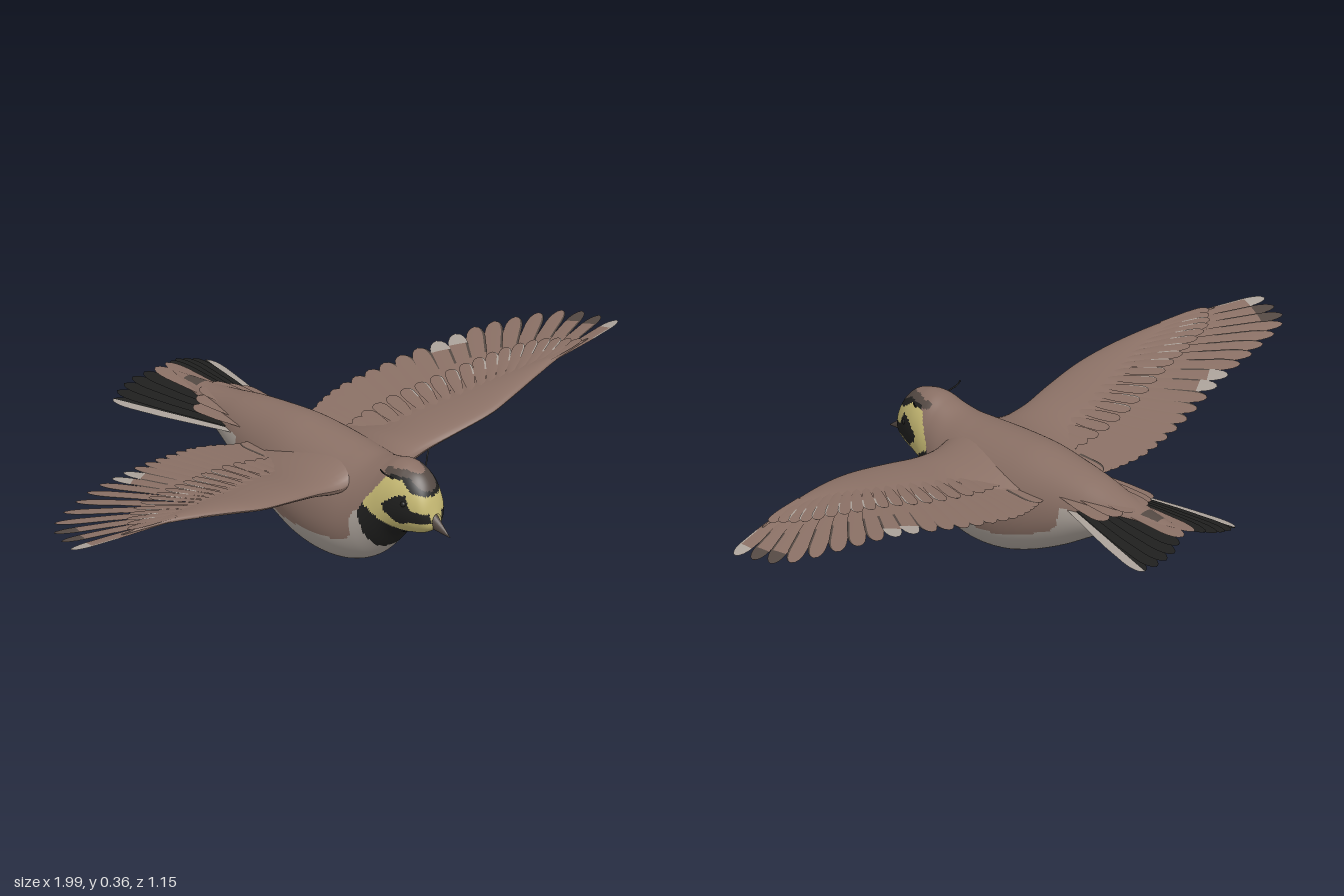
import * as THREE from 'three';

const paint = (name, color) => {
  const m = new THREE.MeshStandardMaterial({ color, side: THREE.DoubleSide });
  m.name = name;
  return m;
};
const M = {
  brown: paint('warm brown', 0x8a7065),
  pale: paint('pale belly', 0xaba29a),
  grey: paint('wing underside grey', 0x968e87),
  black: paint('black', 0x1f1f1e),
  yellow: paint('face yellow', 0xc6b973),
  dark: paint('dark brown', 0x544943),
};
const KEYS = Object.keys(M);

// Collects grid patches whose cells may differ in colour; side -1 mirrors in x
class Surface {
  constructor(side = 1) {
    this.side = side;
    this.pos = [];
    this.faces = Object.fromEntries(KEYS.map((k) => [k, []]));
  }
  patch(nu, nv, point, colour, flip = false) {
    const base = this.pos.length / 3;
    for (let i = 0; i <= nu; i++) for (let j = 0; j <= nv; j++) {
      const p = point(i / nu, j / nv);
      this.pos.push(p[0] * this.side, p[1], p[2]);
    }
    const reverse = flip !== (this.side < 0);
    for (let i = 0; i < nu; i++) for (let j = 0; j < nv; j++) {
      const a = base + i * (nv + 1) + j, b = a + nv + 1, c = b + 1, d = a + 1;
      const key = colour((i + 0.5) / nu, (j + 0.5) / nv);
      this.faces[key].push(...(reverse ? [a, c, b, a, d, c] : [a, b, c, a, c, d]));
    }
  }
  mesh(name) {
    const g = new THREE.BufferGeometry(), index = [], mats = [];
    g.setAttribute('position', new THREE.Float32BufferAttribute(this.pos, 3));
    for (const k of KEYS) {
      if (!this.faces[k].length) continue;
      g.addGroup(index.length, this.faces[k].length, mats.length);
      for (const n of this.faces[k]) index.push(n);
      mats.push(M[k]);
    }
    g.setIndex(index);
    g.computeVertexNormals();
    const m = new THREE.Mesh(g, mats.length > 1 ? mats : mats[0]);
    m.name = name;
    return m;
  }
}

// Smooth lookup in a table whose first column is the ascending key
function table(rows) {
  const f = new THREE.CubicInterpolant(rows.map((r) => r[0]), rows.flatMap((r) => r.slice(1)), rows[0].length - 1);
  return (x) => Array.from(f.evaluate(x));
}

function inside(poly, x, y) {
  let hit = false;
  for (let i = 0, j = poly.length - 1; i < poly.length; j = i++) {
    const [ax, ay] = poly[i], [bx, by] = poly[j];
    if ((ay > y) !== (by > y) && x < ((bx - ax) * (y - ay)) / (by - ay) + ax) hit = !hit;
  }
  return hit;
}

// Body sections: z, top, bottom, half width
const bodyAt = table([
  [-0.5, 0.296, 0.29, 0.004], [-0.44, 0.298, 0.272, 0.024], [-0.36, 0.303, 0.243, 0.046],
  [-0.28, 0.315, 0.2, 0.067], [-0.2, 0.33, 0.152, 0.088], [-0.1, 0.342, 0.09, 0.111],
  [0, 0.349, 0.04, 0.131], [0.08, 0.346, 0.012, 0.142], [0.17, 0.34, 0.002, 0.144],
  [0.24, 0.335, 0.012, 0.136], [0.3, 0.335, 0.04, 0.118], [0.35, 0.346, 0.088, 0.098],
  [0.39, 0.357, 0.136, 0.086], [0.43, 0.354, 0.157, 0.075], [0.483, 0.326, 0.172, 0.054],
  [0.508, 0.283, 0.187, 0.037], [0.52, 0.238, 0.197, 0.016],
]);

// Plumage areas as (z, y) outlines, first match wins
const AREAS = [
  ['black', [[0.52, 0.215], [0.515, 0.242], [0.475, 0.252], [0.46, 0.29], [0.43, 0.283], [0.395, 0.255], [0.4, 0.235], [0.44, 0.2], [0.47, 0.213]]],
  ['black', [[0.46, 0.16], [0.4, 0.19], [0.335, 0.24], [0.325, 0.21], [0.345, 0.1], [0.37, 0.05], [0.46, 0.1]]],
  ['yellow', [[0.56, 0.14], [0.46, 0.16], [0.4, 0.19], [0.335, 0.24], [0.39, 0.325], [0.44, 0.325], [0.47, 0.3], [0.56, 0.27]]],
  ['black', [[0.56, 0.27], [0.47, 0.3], [0.44, 0.325], [0.4, 0.325], [0.4, 0.333], [0.455, 0.332], [0.5, 0.3], [0.56, 0.28]]],
  ['dark', [[0.56, 0.28], [0.4, 0.325], [0.375, 0.33], [0.375, 0.343], [0.43, 0.347], [0.47, 0.34], [0.56, 0.34]]],
  ['pale', [[0.4, -0.1], [0.33, 0.22], [0.305, 0.2], [0.3, 0.13], [0.27, 0.11], [0.05, 0.107], [0, 0.12], [-0.05, 0.14],
    [-0.12, 0.17], [-0.15, 0.2], [-0.16, 0.255], [-0.5, 0.275], [-0.5, -0.1]]],
  ['dark', [[-0.39, 0.297], [-0.45, 0.295], [-0.45, 0.32], [-0.39, 0.32]]],
];

function makeBody() {
  const s = new Surface();
  const point = (u, v) => {
    const z = 0.52 - 1.02 * u ** 1.3, a = v * Math.PI * 2;
    const [top, bottom, w] = bodyAt(z);
    const mid = bottom + 0.47 * (top - bottom), c = Math.cos(a);
    return [w * Math.sin(a), mid + c * (c > 0 ? top - mid : mid - bottom), z];
  };
  s.patch(200, 112, point, (u, v) => {
    const [, y, z] = point(u, v);
    const area = AREAS.find((r) => inside(r[1], z, y));
    return area ? area[0] : 'brown';
  }, true);
  return s.mesh('body');
}

// Thin lens-shaped feather from root to tip, its outer edge raised by roll
function feather(s, root, tip, half, o) {
  const d = new THREE.Vector3().subVectors(tip, root);
  const out = new THREE.Vector3(-d.z, 0, d.x).normalize();
  const across = [-1, -0.75, 0, 0.75, 1];
  const along = (u) => 1 - (1 - u) ** 1.6;
  const skin = (sign) => (u, v) => {
    const t = along(u), a = across[Math.round(v * 4)];
    const round = t > 0.82 ? Math.sqrt(Math.max(0, 1 - ((t - 0.82) / 0.18) ** 2)) : 1;
    const w = half * Math.min(1, 0.5 + 0.9 * t) * round * a;
    const y = root.y + d.y * t + w * (o.roll ?? 0.14) + sign * 0.0025 * (1 - a * a) * (1 - 0.7 * t);
    return [root.x + d.x * t + out.x * w, y, root.z + d.z * t + out.z * w];
  };
  const paintCell = (base) => (u, v) => {
    const t = along(u);
    if (o.tip && t > (o.tipFrom ?? 0.86)) return o.tip;
    return o.edge && v > (o.edgeAt ?? 0.75) && t > (o.edgeFrom ?? 0.4) ? o.edge : base;
  };
  s.patch(12, 4, skin(1), paintCell(o.top), true);
  s.patch(12, 4, skin(-1), paintCell(o.bottom));
}

// Wing sections: x, leading z, trailing z, height, thickness
const armAt = table([
  [0.04, 0.29, -0.06, 0.285, 0.045], [0.12, 0.28, -0.02, 0.266, 0.038], [0.2, 0.275, 0.07, 0.276, 0.023],
  [0.3, 0.285, 0.085, 0.294, 0.018], [0.42, 0.292, 0.12, 0.314, 0.016], [0.5, 0.282, 0.145, 0.329, 0.015],
  [0.6, 0.262, 0.175, 0.344, 0.012], [0.7, 0.238, 0.2, 0.354, 0.008], [0.85, 0.204, 0.2, 0.353, 0.002], [1, 0.165, 0.16, 0.346, 0.001],
]);
const line = (pts) => new THREE.CatmullRomCurve3(pts.map(([x, z]) => new THREE.Vector3(x, 0, z)), false, 'catmullrom');
const rootLine = line([[0.11, 0.14], [0.2, 0.14], [0.32, 0.15], [0.43, 0.18], [0.52, 0.2], [0.6, 0.22], [0.68, 0.232]]);
const tipLine = line([[0.115, -0.11], [0.25, -0.147], [0.42, -0.127], [0.6, -0.08], [0.78, -0.035], [0.945, 0.035], [0.997, 0.16]]);
const seat = (p, lift) => p.setY(armAt(p.x)[2] + lift);

function makeWing(side) {
  const wing = new THREE.Group();
  wing.name = side > 0 ? 'leftWing' : 'rightWing';

  const arm = new Surface(side);
  const skin = (k) => (u, v) => {
    const x = 0.04 + 0.81 * u, c = v * v;
    const [lead, trail, y, h] = armAt(x);
    return [x, y + k * h * 2.6 * Math.sqrt(c) * (1 - c), lead + (trail - lead) * c];
  };
  arm.patch(40, 12, skin(0.9), () => 'brown');
  arm.patch(40, 12, skin(-0.9), (u, v) => (v < 0.2 ? 'brown' : u < 0.6 ? 'pale' : 'grey'), true);
  wing.add(arm.mesh('wingArm'));

  // Long flight feathers, fanned out into fingers at the wing tip
  const flight = new Surface(side), n = 22;
  for (let i = 0; i < n; i++) {
    const s = i / (n - 1), u = s * (0.6 + 0.4 * s);
    const tip = i === n - 1 || (u > 0.44 && u < 0.57) ? 'pale' : i > n - 4 ? 'dark' : null;
    feather(flight, seat(rootLine.getPoint(u), 0), seat(tipLine.getPoint(u), -0.004), 0.029 - 0.01 * u * u,
      { top: 'brown', bottom: 'grey', edge: i < n - 1 ? 'dark' : 'pale', edgeAt: 0.8 - 0.05 * u, edgeFrom: 0.6, tip });
  }
  wing.add(flight.mesh('flightFeathers'));

  // Shorter feathers covering the flight feather roots, with pale rims mid-wing
  const coverts = new Surface(side);
  for (let i = 0; i < 20; i++) {
    const u = i / 19, root = rootLine.getPoint(u);
    const tip = root.clone().lerp(tipLine.getPoint(u), 0.46);
    feather(coverts, seat(root, 0.007), seat(tip, 0.006), 0.021 - 0.006 * u,
      { top: 'brown', bottom: 'grey', edge: u > 0.3 && u < 0.9 ? 'pale' : null, edgeFrom: 0.55 });
  }
  wing.add(coverts.mesh('wingCoverts'));
  return wing;
}

function makeTail(side) {
  const tail = new Surface(side);
  const v = (x, y, z) => new THREE.Vector3(x, y, z);
  const tipZ = [-0.55, -0.562, -0.575, -0.575, -0.57, -0.555];
  for (let i = 5; i >= 0; i--) {
    const colour = i === 0 ? 'brown' : 'black';
    feather(tail, v(0.008 + 0.013 * i, 0.288 - 0.006 * i, -0.17), v(0.02 + 0.03 * i, 0.293 - 0.009 * i, tipZ[i]), 0.024,
      { top: colour, bottom: colour, roll: -0.1, edge: i === 5 ? 'pale' : null, edgeAt: 0.5, edgeFrom: 0 });
  }
  // Brown feathers over the tail root
  for (let i = 0; i < 3; i++) {
    feather(tail, v(0.02 + 0.022 * i, 0.302 - 0.009 * i, -0.1), v(0.025 + 0.03 * i, 0.3 - 0.009 * i, -0.37 + 0.02 * i), 0.024,
      { top: 'brown', bottom: 'pale', roll: -0.1 });
  }
  return tail.mesh(side > 0 ? 'leftTailFeathers' : 'rightTailFeathers');
}

export function createModel() {
  const bird = new THREE.Group();
  bird.name = 'bird';
  bird.add(makeBody());

  const beak = new THREE.Mesh(new THREE.ConeGeometry(0.029, 0.095, 20).rotateX(Math.PI / 2).rotateX(0.38).scale(0.75, 1, 1), M.dark);
  beak.name = 'beak';
  beak.position.set(0, 0.203, 0.53);
  bird.add(beak);

  for (const side of [1, -1]) {
    bird.add(makeWing(side), makeTail(side));

    const eye = new THREE.Mesh(new THREE.SphereGeometry(0.009, 14, 10), M.black);
    eye.name = 'eye';
    eye.position.set(side * 0.06, 0.265, 0.455);

    const path = new THREE.CatmullRomCurve3([[0.06, 0.325, 0.415], [0.07, 0.334, 0.407], [0.079, 0.342, 0.4], [0.088, 0.355, 0.395]]
      .map(([x, y, z]) => new THREE.Vector3(side * x, y, z)));
    const horn = new THREE.Mesh(new THREE.TubeGeometry(path, 10, 0.0022, 6), M.black);
    horn.name = 'headTuft';
    bird.add(eye, horn);
  }
  return bird;
}
